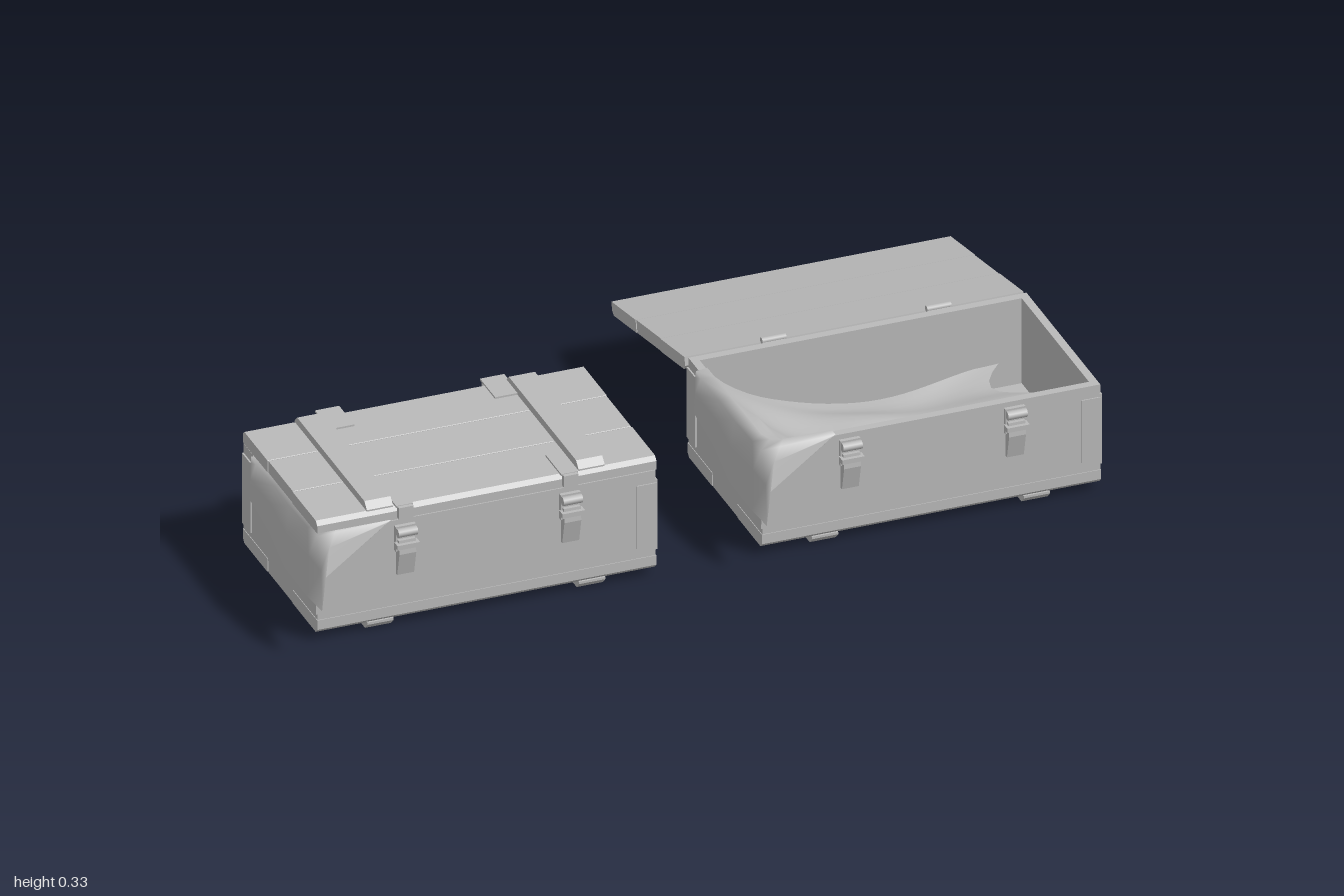
import * as THREE from 'three';
import { toCreasedNormals } from 'three/addons/utils/BufferGeometryUtils.js';

const grey = new THREE.MeshStandardMaterial({ color: 0xbababa });
grey.name = 'crate grey';
const clothGrey = new THREE.MeshStandardMaterial({ color: 0xbababa, side: THREE.DoubleSide });
clothGrey.name = 'cloth grey';

function add(parent, name, geometry, x = 0, y = 0, z = 0, material = grey) {
  const mesh = new THREE.Mesh(geometry, material);
  mesh.name = name;
  mesh.position.set(x, y, z);
  parent.add(mesh);
  return mesh;
}
const box = (w, h, d) => new THREE.BoxGeometry(w, h, d);

// Extrudes a [z, y] outline along x, centred on x = 0
function profile(points, width) {
  const shape = new THREE.Shape(points.map(p => new THREE.Vector2(p[0], p[1])));
  const g = new THREE.ExtrudeGeometry(shape, { depth: width, bevelEnabled: false });
  return g.translate(0, 0, -width / 2).rotateY(-Math.PI / 2);
}

// Bar from z0 to z1 whose outer corners are cut; up = 1 cuts the top, -1 the bottom
function bar(width, z0, z1, y0, y1, cut0, cut1, up) {
  const pts = up > 0
    ? [[z0, y0], [z1, y0], [z1, y1 - cut1], [z1 - cut1, y1], [z0 + cut0, y1], [z0, y1 - cut0]]
    : [[z0 + cut0, y0], [z1 - cut1, y0], [z1, y0 + cut1], [z1, y1], [z0, y1], [z0, y0 + cut0]];
  return profile(pts.filter((p, i) => i === 0 || p[0] !== pts[i - 1][0] || p[1] !== pts[i - 1][1]), width);
}

// Three boards side by side with narrow seams
function boards(parent, name, z0, y0, y1, up) {
  const d = 0.47 / 3;
  for (let i = 0; i < 3; i++) {
    const a = z0 + i * d + (i ? 0.001 : 0), b = z0 + (i + 1) * d - (i < 2 ? 0.001 : 0);
    const c0 = i === 0 ? 0.01 : 0.001, c1 = i === 2 ? 0.01 : 0.001;
    add(parent, name, bar(0.843 - (i === 1 ? 0.003 : 0), a, b, y0, y1, c0, c1, up));
  }
}

// Smooth sheet from rows of points
function sheet(rows) {
  const n = rows[0].length, g = new THREE.BufferGeometry(), index = [];
  g.setAttribute('position', new THREE.Float32BufferAttribute(rows.flat(2), 3));
  for (let i = 0; i < rows.length - 1; i++) {
    for (let j = 0; j < n - 1; j++) {
      const a = i * n + j;
      index.push(a, a + 1, a + n, a + 1, a + n + 1, a + n);
    }
  }
  g.setIndex(index);
  g.computeVertexNormals();
  return g;
}

// Hinge axis at the group origin; the lid reaches forward along +z
function buildLid() {
  const lid = new THREE.Group();
  lid.name = 'lid';
  boards(lid, 'lidBoard', 0.01, 0.002, 0.034, 1);
  for (const s of [-1, 1]) {
    add(lid, 'lidBatten', bar(0.065, 0.017, 0.473, 0.033, 0.053, 0.016, 0.016, 1), s * 0.263);
    add(lid, 'hingeLeaf', box(0.06, 0.005, 0.095), s * 0.205, 0.036, 0.04);
    add(lid, 'hingeBend', box(0.06, 0.034, 0.006), s * 0.205, 0.021, 0.005);
    add(lid, 'latchLeaf', box(0.042, 0.005, 0.1), s * 0.205, 0.036, 0.432);
    add(lid, 'latchHook', box(0.036, 0.03, 0.012), s * 0.205, 0.022, 0.486);
  }
  return lid;
}

function buildLatch() {
  const latch = new THREE.Group();
  latch.name = 'latch';
  add(latch, 'latchPlate', box(0.05, 0.065, 0.01), 0, 0.235, 0.434);
  add(latch, 'latchLever', profile([[0.43, 0.14], [0.438, 0.14], [0.452, 0.2], [0.448, 0.235], [0.43, 0.235]], 0.042));
  add(latch, 'latchLoop', box(0.056, 0.012, 0.022), 0, 0.222, 0.447);
  add(latch, 'latchRoll', new THREE.CylinderGeometry(0.011, 0.011, 0.048, 10).rotateZ(Math.PI / 2), 0, 0.255, 0.446);
  return latch;
}

function buildHandle() {
  const handle = new THREE.Group();
  handle.name = 'handle';
  // Peaked back plate
  add(handle, 'handlePlate', profile(
    [[0.118, 0.15], [0.278, 0.15], [0.278, 0.21], [0.198, 0.226], [0.118, 0.21]], 0.008), 0.424);
  // Swinging bail
  const path = new THREE.CurvePath();
  const pts = [[0.13, 0.2], [0.122, 0.1], [0.13, 0.09], [0.266, 0.09], [0.274, 0.1], [0.266, 0.2]]
    .map(([z, y]) => new THREE.Vector3(0.43, y, z));
  for (let i = 0; i < pts.length - 1; i++) path.add(new THREE.LineCurve3(pts[i], pts[i + 1]));
  add(handle, 'handleBail', new THREE.TubeGeometry(path, 40, 0.007, 6));
  // Folded grip
  add(handle, 'handleHood', new THREE.CylinderGeometry(0.02, 0.02, 0.14, 10).rotateX(Math.PI / 2).scale(0.9, 1, 1), 0.427, 0.182, 0.198);
  add(handle, 'handleGrip', new THREE.CylinderGeometry(0.012, 0.012, 0.13, 8).rotateX(Math.PI / 2), 0.432, 0.135, 0.198);
  return handle;
}

// Cloth hanging over the right end and the front corner
function buildDrape() {
  return sheet([
    [[-0.4, 0.285, 0.03], [-0.428, 0.282, 0.03], [-0.43, 0.265, 0.03], [-0.431, 0.25, 0.035]],
    [[-0.4, 0.286, 0.08], [-0.432, 0.283, 0.07], [-0.442, 0.24, 0.06], [-0.445, 0.19, 0.06]],
    [[-0.4, 0.286, 0.18], [-0.43, 0.283, 0.18], [-0.434, 0.23, 0.17], [-0.44, 0.16, 0.17]],
    [[-0.4, 0.286, 0.28], [-0.432, 0.283, 0.28], [-0.443, 0.22, 0.29], [-0.449, 0.13, 0.29]],
    [[-0.4, 0.286, 0.37], [-0.43, 0.284, 0.39], [-0.436, 0.22, 0.41], [-0.444, 0.12, 0.42]],
    [[-0.39, 0.287, 0.4], [-0.428, 0.285, 0.44], [-0.442, 0.23, 0.505], [-0.449, 0.137, 0.53]],
    [[-0.36, 0.287, 0.41], [-0.38, 0.285, 0.438], [-0.4, 0.255, 0.452], [-0.42, 0.19, 0.475]],
    [[-0.24, 0.286, 0.41], [-0.24, 0.285, 0.433], [-0.25, 0.28, 0.434], [-0.26, 0.272, 0.434]],
  ]);
}

// Rumpled cloth lining the inside of the open crate
function buildLining() {
  const rows = [];
  for (let i = 0; i <= 24; i++) {
    const row = [], u = i / 24;
    for (let j = 0; j <= 16; j++) {
      const v = j / 16;
      const x = -0.405 + u * (0.75 - 0.05 * Math.sin(v * 9));
      const z = 0.0 + v * 0.385 - 0.02 * Math.sin(u * 8) * (1 - v);
      const rise = Math.exp(-u * 6) * 0.17;
      const fold = 0.018 * Math.sin(u * 13 + v * 5) * v + 0.012 * Math.sin(v * 11 - u * 4);
      const corner = 0.08 * Math.max(0, 1 - u * 3) * v * v;
      row.push([x, Math.min(0.284, 0.11 + rise + fold * (1 - Math.exp(-u * 8)) + corner), z]);
    }
    rows.push(row);
  }
  return sheet(rows);
}

function buildCrate(open) {
  const crate = new THREE.Group();
  crate.name = open ? 'openCrate' : 'closedCrate';

  // Hollow wall frame
  const outline = (x, z) => [[-x, -z], [x, -z], [x, z], [-x, z]].map(p => new THREE.Vector2(...p));
  const wall = new THREE.Shape(outline(0.42, 0.233));
  wall.holes.push(new THREE.Path(outline(0.4, 0.212)));
  const frame = new THREE.ExtrudeGeometry(wall, { depth: 0.23, bevelEnabled: false }).rotateX(-Math.PI / 2);
  add(crate, 'walls', toCreasedNormals(frame, 0.5), 0, 0.05, 0.195);
  boards(crate, 'floorBoard', -0.04, 0.02, 0.055, -1);

  // Runners, latches and hinges
  for (const s of [-1, 1]) {
    add(crate, 'runner', bar(0.065, -0.037, 0.427, 0, 0.022, 0.016, 0.016, -1), s * 0.263);
    const latch = buildLatch();
    latch.position.x = s * 0.205;
    crate.add(latch);
    add(crate, 'hingePlate', box(0.06, 0.1, 0.008), s * 0.205, 0.23, -0.041);
    add(crate, 'hingePin', new THREE.CylinderGeometry(0.008, 0.008, 0.06, 10).rotateZ(Math.PI / 2), s * 0.205, 0.282, -0.048);
    // Corner plates on both ends
    for (const z of [-0.012, 0.402]) add(crate, 'cornerPlate', box(0.006, 0.185, 0.054), s * 0.421, 0.163, z);
    for (const z of [-0.039, 0.429]) add(crate, 'cornerPlateReturn', box(0.05, 0.165, 0.004), s * 0.397, 0.165, z);
  }
  crate.add(buildHandle());

  // Lid swings back past level when open
  const lid = buildLid();
  lid.position.set(0, open ? 0.275 : 0.281, -0.05);
  if (open) lid.rotation.x = Math.PI - 0.2;
  crate.add(lid);

  add(crate, 'clothDrape', buildDrape(), 0, 0, 0, clothGrey);
  if (open) add(crate, 'clothLining', buildLining(), 0, 0, 0, clothGrey);
  return crate;
}

export function createModel() {
  const model = new THREE.Group();
  model.name = 'crates';
  for (const open of [false, true]) {
    const crate = buildCrate(open);
    crate.position.x = open ? 0.555 : -0.55;
    model.add(crate);
  }
  return model;
}
